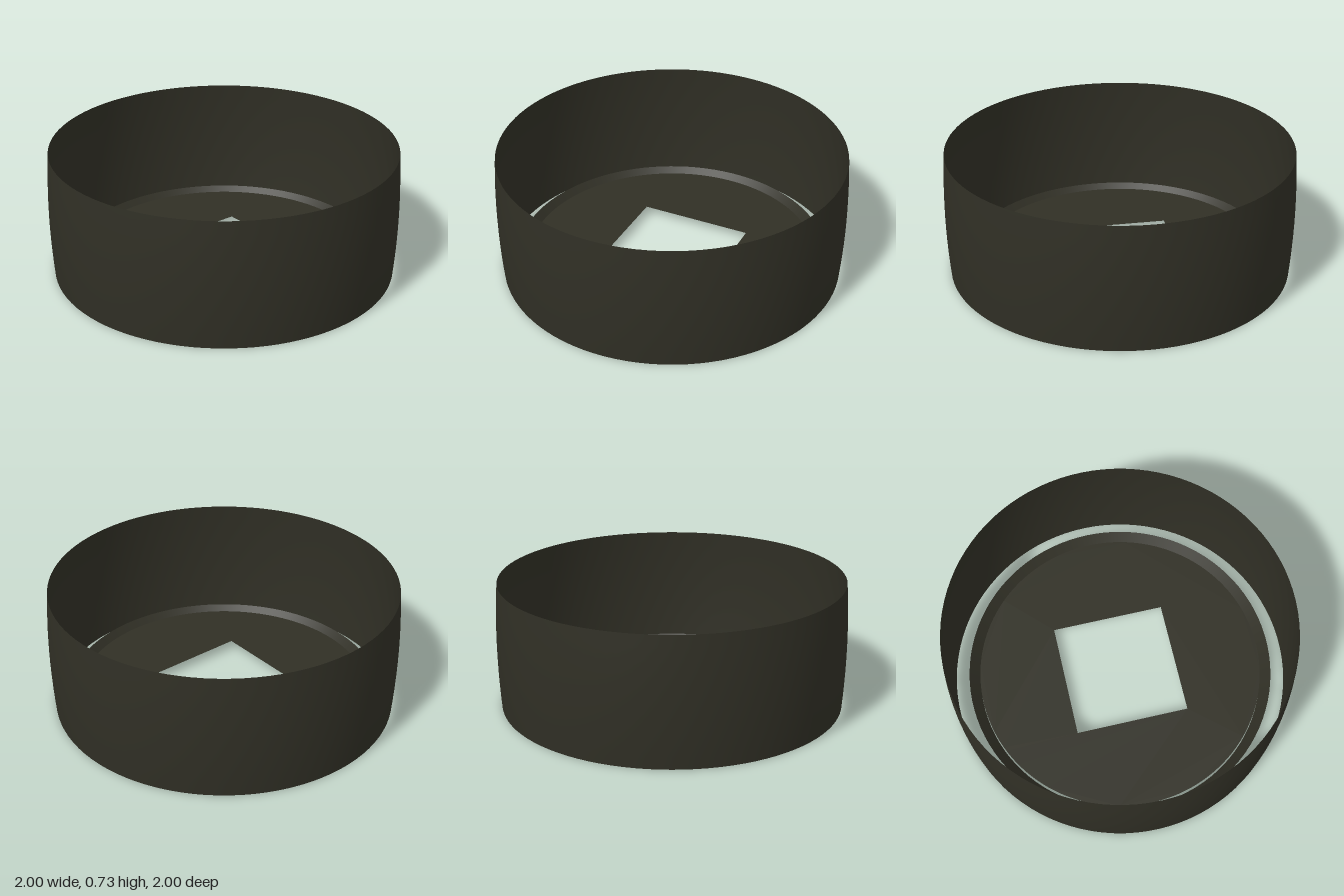
import * as THREE from 'three';

const SEGMENTS = 96;

export function createModel() {
  const model = new THREE.Group();
  const darkOlive = new THREE.MeshStandardMaterial({ color: 0x302f25, side: THREE.DoubleSide });
  darkOlive.name = 'dark olive';

  const add = (name, geometry) => {
    const mesh = new THREE.Mesh(geometry, darkOlive);
    mesh.name = name;
    model.add(mesh);
    return mesh;
  };

  // Open outer band, bulging gently at mid height
  const height = 0.73, endRadius = 0.985, bulge = 0.015;
  const profile = [];
  for (let i = 0; i <= 10; i++) {
    const t = i / 10;
    profile.push(new THREE.Vector2(endRadius + bulge * (1 - (2 * t - 1) ** 2), t * height));
  }
  add('outerBand', new THREE.LatheGeometry(profile, SEGMENTS));

  // Thin conical ring, wider at the top
  const ring = add('conicalRing', new THREE.CylinderGeometry(0.9, 0.84, 0.068, SEGMENTS, 1, true));
  ring.position.y = 0.036;

  // Flat floor disc with a square opening
  const disc = new THREE.Shape().absarc(0, 0, 0.837, 0, Math.PI * 2, false);
  const h = 0.333;
  disc.holes.push(new THREE.Path([[-h, -h], [-h, h], [h, h], [h, -h]].map(([x, y]) => new THREE.Vector2(x, y))));
  const floor = add('floorDisc', new THREE.ShapeGeometry(disc, SEGMENTS).rotateX(-Math.PI / 2));
  floor.position.y = 0.054;

  return model;
}
